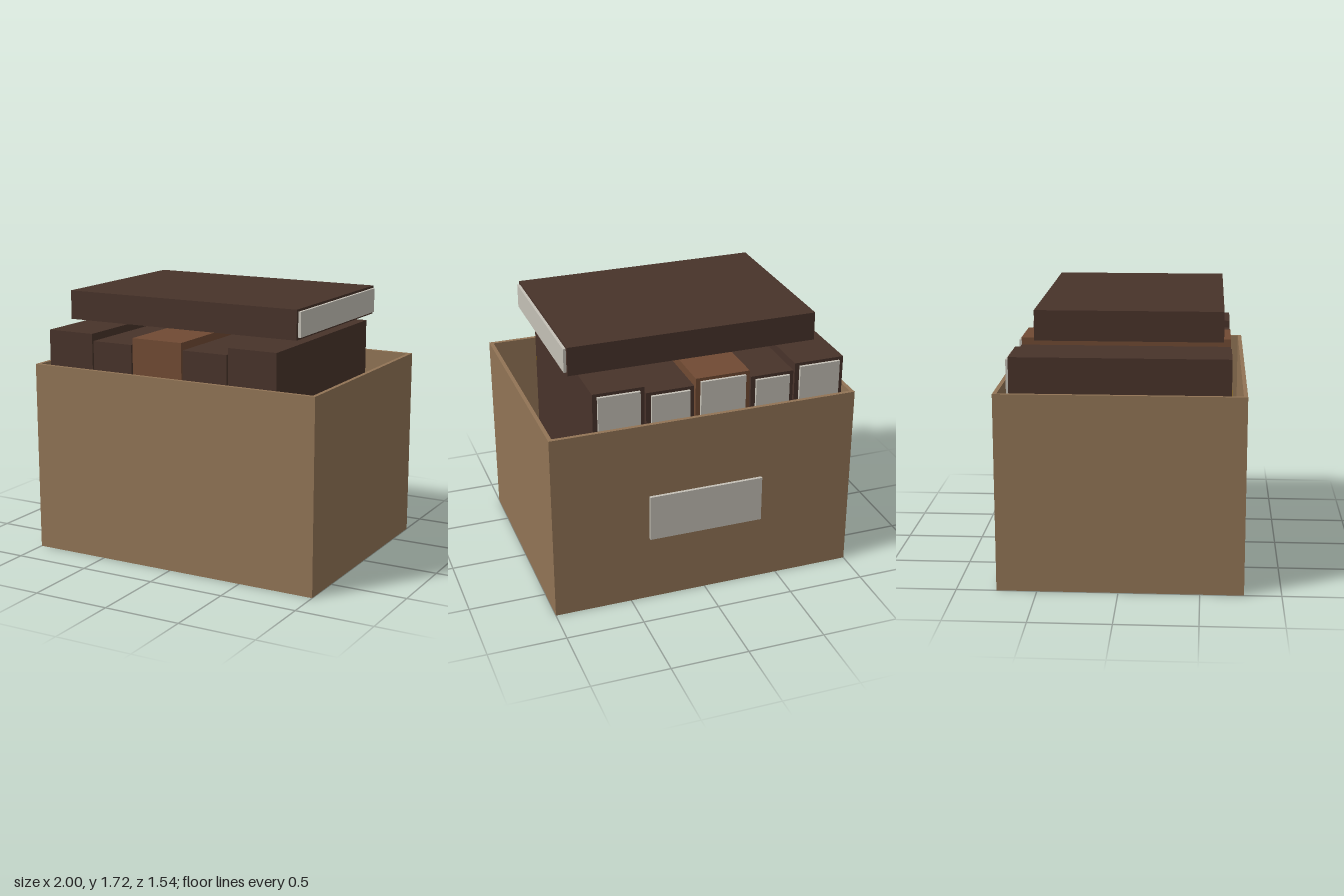
import * as THREE from 'three';

const mat = (color) => new THREE.MeshStandardMaterial({ color });

export function createModel() {
  const root = new THREE.Group();
  const card = mat(0x917455), dark = mat(0x48332a), rust = mat(0x704a33);
  const paper = mat(0xc4c0b6), gold = mat(0x8b6914);

  // Box given by its lower and upper limits on each axis
  const block = (parent, name, material, [x0, x1], [y0, y1], [z0, z1]) => {
    const mesh = new THREE.Mesh(new THREE.BoxGeometry(x1 - x0, y1 - y0, z1 - z0), material);
    mesh.position.set((x0 + x1) / 2, (y0 + y1) / 2, (z0 + z1) / 2);
    mesh.name = name;
    parent.add(mesh);
  };

  // Open carton with thin walls
  const carton = new THREE.Group();
  carton.name = 'carton';
  root.add(carton);
  const t = 0.025, H = 1.24, zb = -0.75, zf = 0.77;
  block(carton, 'cartonFloor', card, [-1, 1], [0, t], [zb, zf]);
  block(carton, 'cartonFront', card, [-1, 1], [t, H], [zf - t, zf]);
  block(carton, 'cartonBack', card, [-1, 1], [t, H], [zb, zb + t]);
  block(carton, 'cartonRight', card, [-1, -1 + t], [t, H], [zb + t, zf - t]);
  block(carton, 'cartonLeft', card, [1 - t, 1], [t, H], [zb + t, zf - t]);
  block(carton, 'cartonLabel', paper, [-0.375, 0.375], [0.44, 0.745], [-0.77, zb]);

  // Row of upright books: spines to the front, pages to the back
  const books = [
    [-0.95, -0.62, 1.455, dark],
    [-0.61, -0.325, 1.41, dark],
    [-0.315, 0.04, 1.455, rust],
    [0.05, 0.36, 1.41, dark],
    [0.37, 0.7, 1.455, dark],
  ];
  for (const [x0, x1, top, cover] of books) {
    const book = new THREE.Group();
    book.name = 'uprightBook';
    root.add(book);
    block(book, 'cover', cover, [x0, x1], [t, top], [-0.658, 0.675]);
    block(book, 'pages', paper, [x0 + 0.03, x1 - 0.03], [t + 0.02, top - 0.02], [-0.677, -0.658]);
    for (const y of [0.3, 1.1]) {
      block(book, 'spineBand', gold, [x0, x1], [y, y + 0.04], [0.675, 0.687]);
    }
  }

  // Book lying flat above the row
  const flat = new THREE.Group();
  flat.name = 'flatBook';
  root.add(flat);
  block(flat, 'cover', dark, [-0.81, 0.805], [1.53, 1.715], [-0.515, 0.625]);
  block(flat, 'pages', paper, [0.805, 0.823], [1.545, 1.7], [-0.493, 0.605]);

  return root;
}
